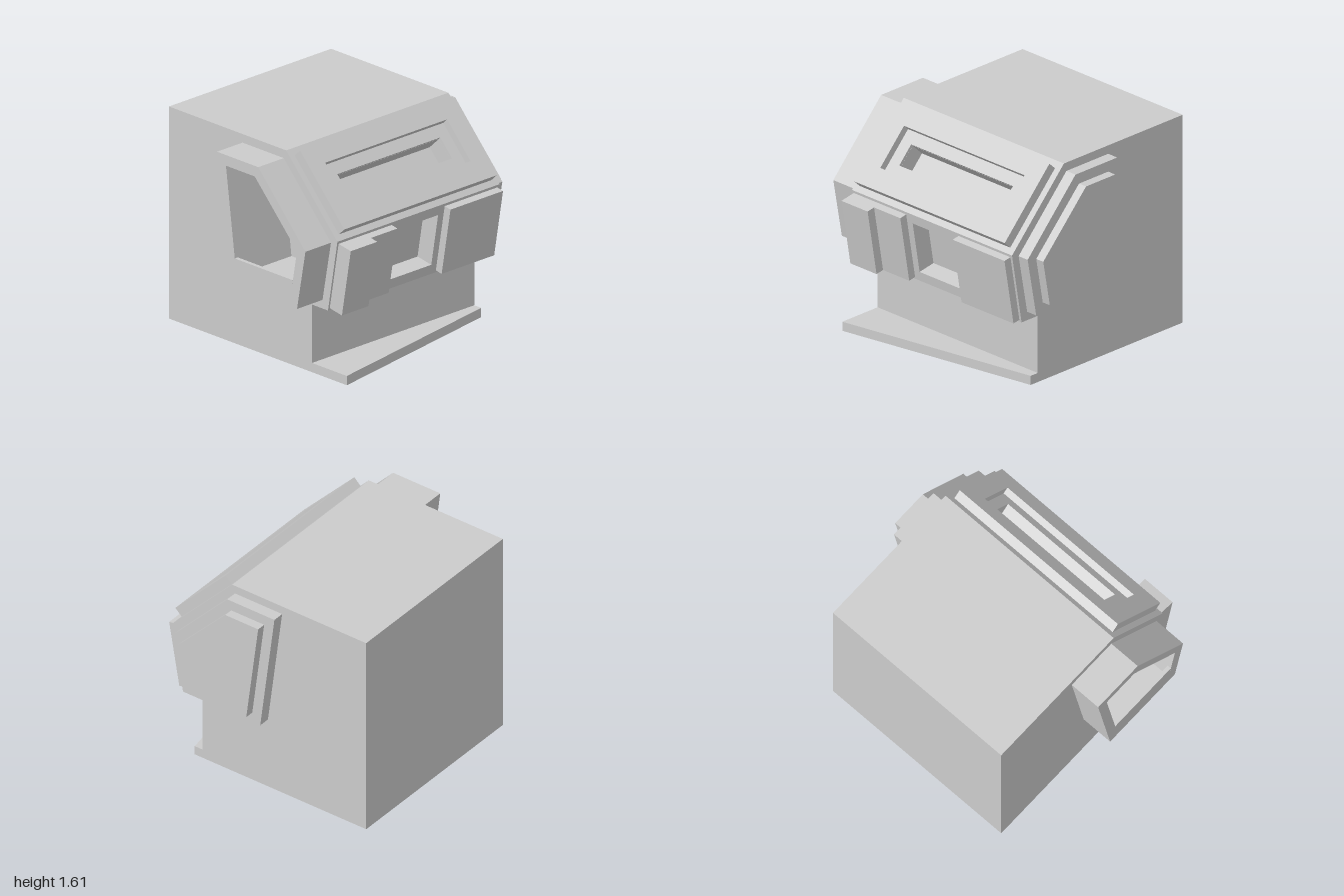
import * as THREE from 'three';

const grey = new THREE.MeshStandardMaterial({ color: 0xcccccc, flatShading: true });
const toShape = pts => new THREE.Shape(pts.map(p => new THREE.Vector2(...p)));
const rect = (x0, x1, y0, y1) => [[x0, y0], [x1, y0], [x1, y1], [x0, y1]];

function add(parent, name, geometry) {
  const mesh = new THREE.Mesh(geometry, grey);
  mesh.name = name;
  parent.add(mesh);
  return mesh;
}

function extrude(outline, depth, hole) {
  const shape = toShape(outline);
  if (hole) shape.holes.push(toShape(hole));
  return new THREE.ExtrudeGeometry(shape, { depth, bevelEnabled: false });
}

// Side profile of [z, y] points swept from x0 to x1
function sweep(parent, name, profile, x0, x1, hole) {
  const g = extrude(profile, x1 - x0, hole).rotateY(-Math.PI / 2).translate(x1, 0, 0);
  return add(parent, name, g);
}

export function createModel() {
  const model = new THREE.Group();
  model.name = 'console';

  // Five-sided side profiles
  const outer = [[-0.045, 0.575], [0.635, 0.575], [0.72, 1.03], [0.245, 1.535], [-0.17, 1.535]];
  const inner = [[0.025, 0.655], [0.57, 0.655], [0.635, 1.01], [0.21, 1.455], [-0.08, 1.455]];

  // Body in slices, so that the front pockets are notches in the profile
  const windowNotch = [[0.703, 0.585], [0.565, 0.609], [0.634, 1.004], [0.772, 0.98]];
  const slotNotch = [[0.592, 1.263], [0.497, 1.174], [0.379, 1.299], [0.473, 1.388]];
  const bodyProfile = (hasWindow, hasSlot) => [
    [-0.91, 0], [0.53, 0], [0.53, 0.51], [0.69, 0.51],
    ...(hasWindow ? windowNotch : []),
    [0.785, 1.055],
    ...(hasSlot ? slotNotch : []),
    [0.27, 1.6], [-0.91, 1.6],
  ];
  const body = new THREE.Group();
  body.name = 'body';
  model.add(body);
  sweep(body, 'bodyHollowEnd', bodyProfile(false, false), -0.75, -0.46, inner);
  sweep(body, 'bodySlotRight', bodyProfile(false, true), -0.46, -0.16);
  sweep(body, 'bodyWindow', bodyProfile(true, true), -0.16, 0.25);
  sweep(body, 'bodySlotLeft', bodyProfile(false, true), 0.25, 0.55);
  sweep(body, 'bodySolidEnd', bodyProfile(false, false), 0.55, 0.84);

  // Hollow side pod with a low lip across its opening
  sweep(model, 'sidePod', outer, -1, -0.75, inner);
  sweep(model, 'podLip', [[0.025, 0.655], [0.57, 0.655], [0.592, 0.78], [0.008, 0.78]], -1, -0.97);

  // Stepped panels on the other side
  sweep(model, 'sidePanelLarge', outer, 0.84, 0.93);
  sweep(model, 'sidePanelSmall', inner, 0.93, 1);

  // Raised panels on the lower front
  const frontPanel = (name, x0, x1, from, to) => {
    const at = (z, y, d) => [z + 0.985 * d, y - 0.172 * d];
    sweep(model, name, [at(0.692, 0.525, from), at(0.692, 0.525, to),
      at(0.781, 1.035, to), at(0.781, 1.035, from)], x0, x1);
  };
  frontPanel('frontPanelRight', -0.735, -0.215, 0, 0.06);
  frontPanel('frontPanelRightUpper', -0.735, -0.475, 0.06, 0.125);
  frontPanel('frontPanelLeft', 0.305, 0.82, 0, 0.06);

  // Sloped display: a plate with the slot, then a frame around the recess
  const display = new THREE.Group();
  display.name = 'slopedDisplay';
  display.position.set(0, 1.09, 0.753);
  display.rotation.x = -Math.atan2(0.515, 0.545);
  model.add(display);
  const face = rect(-0.705, 0.79, 0, 0.647);
  add(display, 'slotPlate', extrude(face, 0.021, rect(-0.46, 0.55, 0.238, 0.41)));
  add(display, 'displayFrame', extrude(face, 0.055, rect(-0.555, 0.64, 0.16, 0.503)))
    .position.z = 0.021;

  // Tapered foot plate on the ground
  const foot = [[-0.75, -0.53], [-0.75, -0.88], [0.84, -0.6], [0.84, -0.53]];
  add(model, 'footPlate', extrude(foot, 0.07).rotateX(-Math.PI / 2));

  return model;
}
